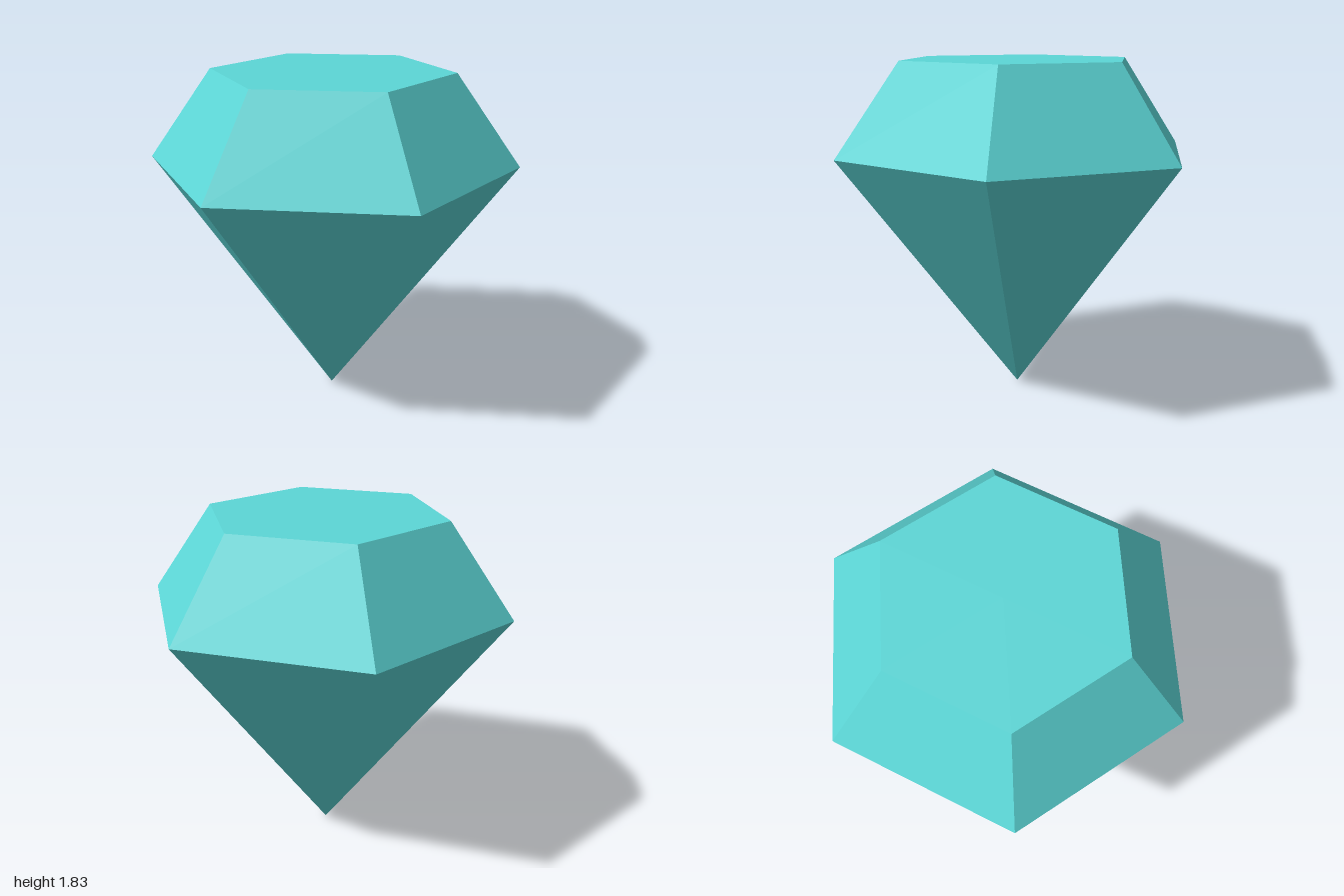
import * as THREE from 'three';

const SIDES = 6;
const GIRDLE_Y = 1.34;
const TOP_Y = 1.83;
const GIRDLE_RADIUS = 1;
const TABLE_RADIUS = 0.65;

export function createModel() {
  const group = new THREE.Group();
  group.name = 'gem';

  const turquoise = new THREE.MeshStandardMaterial({ color: 0x5cd6d6, flatShading: true });
  turquoise.name = 'turquoise';

  const add = (name, geometry, y) => {
    const mesh = new THREE.Mesh(geometry, turquoise);
    mesh.name = name;
    mesh.position.y = y;
    group.add(mesh);
  };

  // Crown: sloping facets between the girdle and the flat table
  const crownHeight = TOP_Y - GIRDLE_Y;
  add('crown',
    new THREE.CylinderGeometry(TABLE_RADIUS, GIRDLE_RADIUS, crownHeight, SIDES, 1, true),
    GIRDLE_Y + crownHeight / 2);

  // Table: flat hexagon on top, with a corner towards the front
  const table = new THREE.CircleGeometry(TABLE_RADIUS, SIDES, Math.PI / 2);
  table.rotateX(-Math.PI / 2);
  add('table', table, TOP_Y);

  // Pavilion: facets tapering down to the point
  add('pavilion',
    new THREE.CylinderGeometry(GIRDLE_RADIUS, 0, GIRDLE_Y, SIDES, 1, true),
    GIRDLE_Y / 2);

  return group;
}
